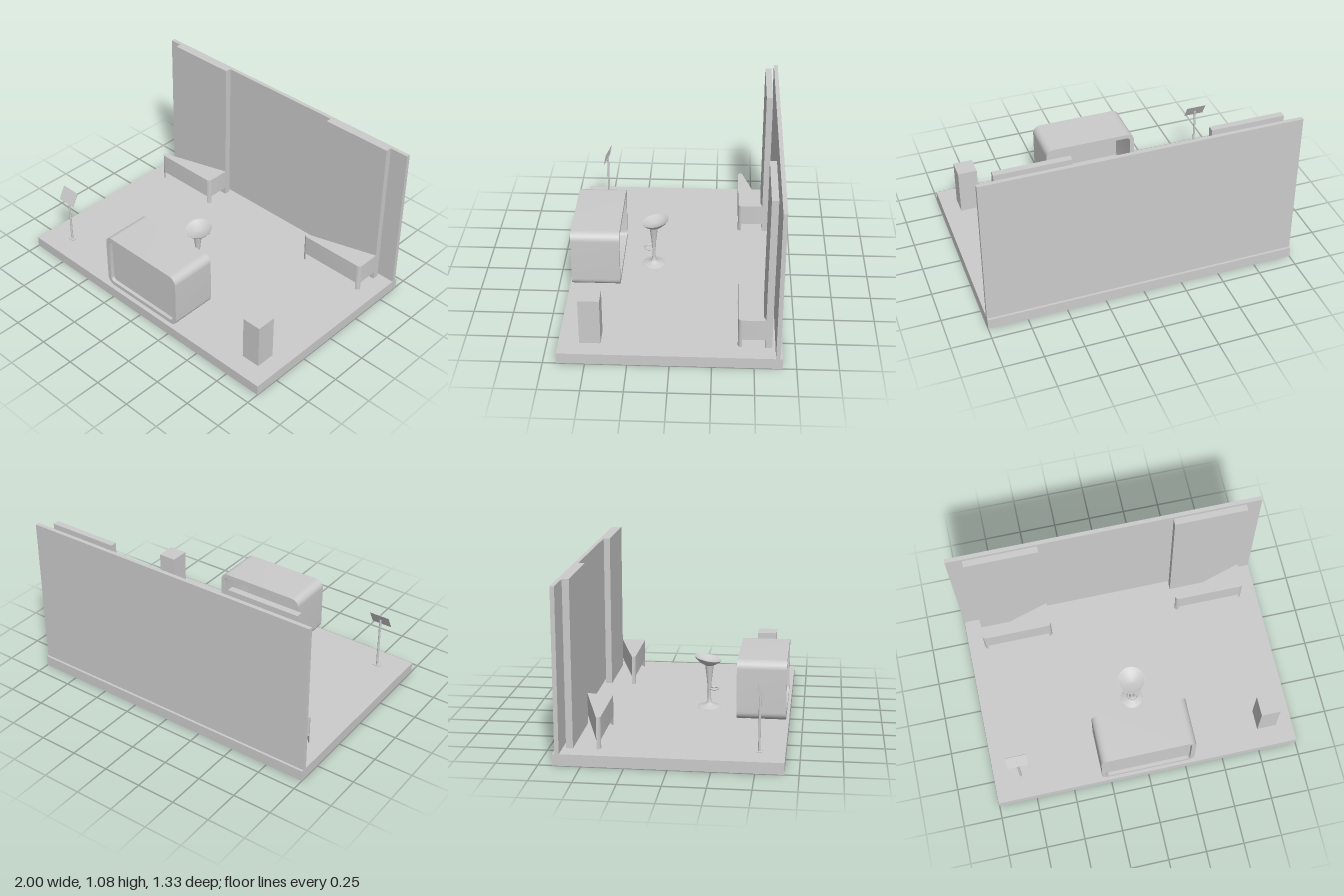
import * as THREE from 'three';
import { toCreasedNormals } from 'three/addons/utils/BufferGeometryUtils.js';

const grey = new THREE.MeshStandardMaterial({ color: 0xcccccc });
const greyDouble = new THREE.MeshStandardMaterial({ color: 0xcccccc, side: THREE.DoubleSide });
const FLOOR = 0.07;

function add(parent, name, geometry, material = grey) {
  const mesh = new THREE.Mesh(geometry, material);
  mesh.name = name;
  parent.add(mesh);
  return mesh;
}

// Box given by its limits on each axis
function box(parent, name, [x0, x1], [y0, y1], [z0, z1]) {
  const mesh = add(parent, name, new THREE.BoxGeometry(x1 - x0, y1 - y0, z1 - z0));
  mesh.position.set((x0 + x1) / 2, (y0 + y1) / 2, (z0 + z1) / 2);
  return mesh;
}

function group(parent, name, x = 0, y = 0, z = 0) {
  const g = new THREE.Group();
  g.name = name;
  g.position.set(x, y, z);
  parent.add(g);
  return g;
}

function extrude(shape, depth) {
  const g = new THREE.ExtrudeGeometry(shape, { depth, bevelEnabled: false, curveSegments: 12 });
  return toCreasedNormals(g, 0.6);
}

// Rounded rectangle centred on the origin
function roundRect(w, h, r, Type = THREE.Shape) {
  const s = new Type();
  const x = w / 2, y = h / 2;
  s.moveTo(x, -y + r);
  s.absarc(x - r, y - r, r, 0, Math.PI / 2);
  s.absarc(-x + r, y - r, r, Math.PI / 2, Math.PI);
  s.absarc(-x + r, -y + r, r, Math.PI, Math.PI * 1.5);
  s.absarc(x - r, -y + r, r, Math.PI * 1.5, Math.PI * 2);
  s.closePath();
  return s;
}

function platform(parent) {
  // Hollow tray, open underneath: drop the box's bottom face
  const g = new THREE.BoxGeometry(2, FLOOR, 1.334);
  const index = Array.from(g.index.array);
  index.splice(18, 6);
  g.setIndex(index);
  g.clearGroups();
  add(parent, 'platform', g, greyDouble).position.y = FLOOR / 2;
}

function bench(parent, x) {
  const b = group(parent, 'bench', x);
  const half = 0.232, front = 0.402, back = 0.566, r = 0.024;
  // Seat footprint with rounded front corners (shape y is -z)
  const s = new THREE.Shape();
  s.moveTo(-half, back);
  s.absarc(-half + r, front + r, r, Math.PI, Math.PI * 1.5);
  s.absarc(half - r, front + r, r, Math.PI * 1.5, Math.PI * 2);
  s.lineTo(half, back);
  s.closePath();
  const seat = add(b, 'benchSeat', extrude(s, 0.138).rotateX(-Math.PI / 2));
  seat.position.y = 0.125;
  // Front legs follow the rounded corners
  for (const side of [-1, 1]) {
    const leg = new THREE.Shape();
    const start = side > 0 ? Math.PI * 1.5 : Math.PI;
    leg.moveTo(0, 0);
    leg.absarc(0, 0, r, start, start + Math.PI / 2);
    leg.closePath();
    const m = add(b, 'benchLeg', extrude(leg, 0.125 - FLOOR).rotateX(-Math.PI / 2));
    m.position.set(side * (half - r), FLOOR, -front - r);
  }
}

function counter(parent) {
  const c = group(parent, 'counter', 0, 0.273, 0);
  // Rounded shell, with a recessed front panel and an open back
  const shell = roundRect(0.614, 0.377, 0.05);
  shell.holes.push(roundRect(0.556, 0.322, 0.025, THREE.Path));
  add(c, 'counterShell', extrude(shell, 0.307)).position.z = 0.343;
  add(c, 'counterFrontPanel', extrude(roundRect(0.558, 0.324, 0.025), 0.012)).position.z = 0.615;
  for (const x of [-0.225, 0.225]) for (const z of [0.392, 0.602]) {
    const foot = add(c, 'counterFoot', new THREE.CylinderGeometry(0.009, 0.009, 0.02, 16));
    foot.position.set(x, FLOOR + 0.01 - 0.273, z);
  }
}

function stool(parent) {
  const s = group(parent, 'stool', 0, 0, 0.146);
  const vec = ([x, y]) => new THREE.Vector2(x, y);
  // Trumpet base and flared column
  const stem = [[0.075, 0.07], [0.074, 0.073], [0.045, 0.08], [0.023, 0.089], [0.014, 0.103], [0.011, 0.13],
    [0.011, 0.18], [0.015, 0.24], [0.022, 0.3], [0.028, 0.346]].map(vec);
  add(s, 'stoolStem', new THREE.LatheGeometry(stem, 32), greyDouble);

  // Dished seat, raised toward the back
  const profile = [[0, 0.345], [0.028, 0.345], [0.055, 0.36], [0.075, 0.377], [0.086, 0.391], [0.087, 0.394],
    [0.08, 0.39], [0.06, 0.378], [0.03, 0.369], [0, 0.366]].map(vec);
  const seat = new THREE.LatheGeometry(profile, 40);
  const p = seat.attributes.position;
  for (let i = 0; i < p.count; i++) {
    const x = p.getX(i), z = p.getZ(i);
    const t = THREE.MathUtils.smoothstep(Math.hypot(x, z), 0.028, 0.086);
    p.setY(i, p.getY(i) - z * 0.185 * t);
    p.setZ(i, z - 0.011 * t);
  }
  seat.computeVertexNormals();
  add(s, 'stoolSeat', seat, greyDouble);

  // Footrest loop
  const rest = add(s, 'stoolFootrest', new THREE.TorusGeometry(0.029, 0.005, 10, 32).rotateX(Math.PI / 2));
  rest.position.set(0, 0.19, 0.03);
}

function infoStand(parent) {
  const s = group(parent, 'infoStand', -0.823, 0, 0.515);
  box(s, 'standBase', [-0.024, 0.024], [FLOOR, FLOOR + 0.005], [-0.016, 0.016]);
  const pole = add(s, 'standPole', new THREE.CylinderGeometry(0.007, 0.007, 0.352, 16));
  pole.position.y = FLOOR + 0.176;
  const board = add(s, 'standBoard', new THREE.BoxGeometry(0.133, 0.096, 0.004));
  board.position.set(0, 0.425, 0);
  board.rotation.x = -0.48;
}

export function createModel() {
  const model = new THREE.Group();
  model.name = 'exhibitionBooth';
  platform(model);
  box(model, 'backWall', [-1, 1], [FLOOR, 1.055], [-0.652, -0.626]);
  for (const side of [-1, 1]) {
    const x = side * 0.66;
    box(model, 'wallPanel', [x - 0.232, x + 0.232], [FLOOR, 1.075], [-0.606, -0.565]);
    bench(model, x);
  }
  counter(model);
  stool(model);
  infoStand(model);
  box(model, 'pedestal', [0.765, 0.89], [FLOOR, 0.37], [0.413, 0.541]);
  return model;
}
